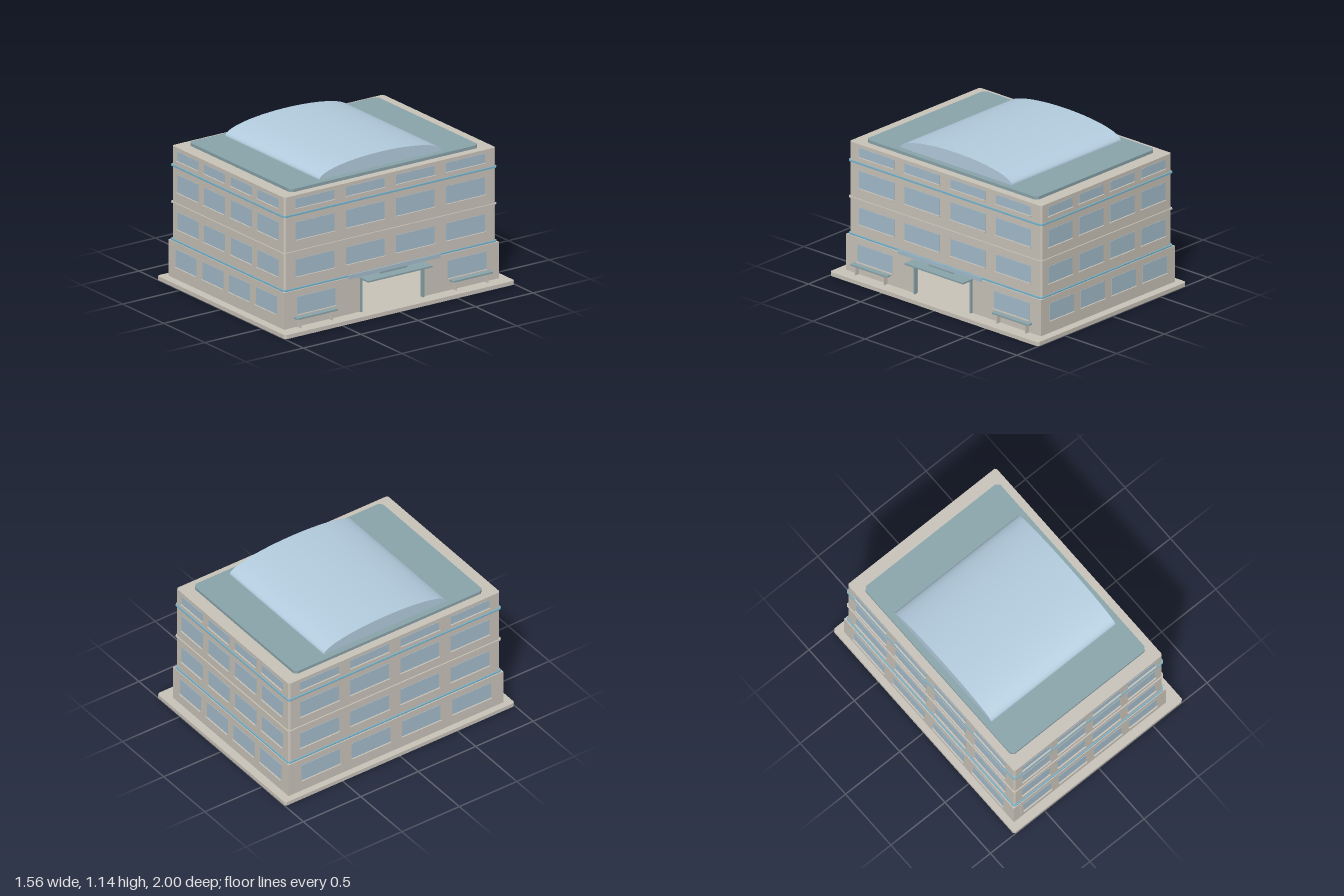
import * as THREE from 'three';

const mat = (name, color) => {
  const m = new THREE.MeshStandardMaterial({ color });
  m.name = name;
  return m;
};

// Outline with cut corners, in the ground plane
function outline(w, d, c) {
  const x = w / 2, y = d / 2;
  return [[-x + c, -y], [x - c, -y], [x, -y + c], [x, y - c], [x - c, y], [-x + c, y], [-x, y - c], [-x, -y + c]]
    .map(([a, b]) => new THREE.Vector2(a, b));
}

export function createModel() {
  const model = new THREE.Group();
  model.name = 'officeBuilding';
  const stone = mat('stone', 0xcac4ba);
  const teal = mat('teal', 0x8aa5ab);
  const glass = mat('windowGlass', 0xa5bdcc);
  const skylight = mat('skylightGlass', 0xb4cddf);
  const blue = mat('blueTrim', 0x78b4cc);
  const CX = -0.027; // centre line of the building on its plinth

  const add = (parent, name, geo, material, x = 0, y = 0, z = 0) => {
    const m = new THREE.Mesh(geo, material);
    m.name = name;
    m.position.set(x, y, z);
    parent.add(m);
    return m;
  };
  const box = (parent, name, material, w, h, d, x, y, z) =>
    add(parent, name, new THREE.BoxGeometry(w, h, d), material, x, y, z);
  // Horizontal slab from y0 to y1 with small cut corners
  const slab = (parent, name, material, w, d, y0, y1, c, x = CX, z = 0) => {
    const geo = new THREE.ExtrudeGeometry(new THREE.Shape(outline(w, d, c)), { depth: y1 - y0, bevelEnabled: false });
    geo.rotateX(-Math.PI / 2);
    return add(parent, name, geo, material, x, y0, z);
  };

  // Plinth and main volumes
  slab(model, 'plinth', stone, 1.56, 2, 0, 0.03, 0.015, 0);
  slab(model, 'upperFloors', stone, 1.37, 1.84, 0.305, 1.012, 0.012);

  // Hollow ground floor with an open doorway on the left side
  const ground = new THREE.Group();
  ground.name = 'groundFloor';
  model.add(ground);
  const W = 1.405, D = 1.87, T = 0.03, H = 0.275, YM = 0.03 + H / 2, DOOR = 0.275;
  for (const s of [-1, 1]) {
    box(ground, 'endWall', stone, W, H, T, CX, YM, s * (D - T) / 2);
    const len = D / 2 - T - DOOR;
    box(ground, 'doorSideWall', stone, T, H, len, CX + (W - T) / 2, YM, s * (DOOR + len / 2));
  }
  box(ground, 'farWall', stone, T, H, D - 2 * T, CX - (W - T) / 2, YM, 0);
  box(ground, 'doorHead', stone, T, 0.025, DOOR * 2, CX + (W - T) / 2, 0.2925, 0);
  box(ground, 'ceiling', teal, W - 2 * T, 0.006, D - 2 * T, CX, 0.302, 0);
  box(ground, 'groundFloorLedge', stone, W - 0.002, 0.004, D - 0.002, CX, 0.303, 0);
  ground.children.at(-2).position.y = 0.297;

  // String courses around the upper floors
  for (const [y, h, m, name] of [[0.305, 0.012, blue, 'lowerTrim'], [0.585, 0.01, stone, 'middleTrim'], [0.862, 0.012, blue, 'upperTrim']])
    slab(model, name, m, 1.388, 1.858, y, y + h, 0.014);

  // Windows with sills on all four sides
  const rows = [[0.12, 0.255], [0.398, 0.53], [0.675, 0.81], [0.913, 0.985]];
  const sides = [
    { name: 'front', angle: 0, step: 0.325, width: 0.252 },
    { name: 'back', angle: Math.PI, step: 0.325, width: 0.252 },
    { name: 'left', angle: Math.PI / 2, step: 0.437, width: 0.335 },
    { name: 'right', angle: -Math.PI / 2, step: 0.437, width: 0.335 },
  ];
  for (const side of sides) {
    const facade = new THREE.Group();
    facade.name = side.name + 'Windows';
    facade.position.x = CX;
    facade.rotation.y = side.angle;
    model.add(facade);
    const long = side.step > 0.4;
    rows.forEach(([y0, y1], floor) => {
      const face = (long ? (floor ? 1.37 : W) : (floor ? 1.84 : D)) / 2;
      for (let i = 0; i < 4; i++) {
        if (side.name === 'left' && floor === 0 && (i === 1 || i === 2)) continue;
        const u = (i - 1.5) * side.step;
        box(facade, 'window', glass, side.width, y1 - y0, 0.004, u, (y0 + y1) / 2, face + 0.001);
        box(facade, 'windowSill', stone, side.width + 0.006, 0.009, 0.016, u, y0 - 0.002, face + 0.006);
      }
    });
  }

  // Roof slab and vaulted skylight
  slab(model, 'roofSlab', teal, 1.245, 1.64, 1.012, 1.035, 0.025);
  const arc = new THREE.Shape();
  arc.moveTo(0.535, 0);
  arc.absellipse(0, 0, 0.535, 0.104, 0, Math.PI, false);
  arc.closePath();
  const vault = new THREE.ExtrudeGeometry(arc, { depth: 1.145, bevelEnabled: false, curveSegments: 40 });
  // Smooth the curved shell, keep the flat ends sharp
  const p = vault.attributes.position, n = vault.attributes.normal, v = new THREE.Vector3();
  for (let i = 0; i < p.count; i++) {
    if (Math.abs(n.getZ(i)) > 0.5 || n.getY(i) < -0.9) continue;
    v.set(p.getX(i) / 0.535 ** 2, p.getY(i) / 0.104 ** 2, 0).normalize();
    n.setXYZ(i, v.x, v.y, 0);
  }
  vault.rotateY(Math.PI / 2);
  add(model, 'vaultedSkylight', vault, skylight, -0.6, 1.034, 0);

  // Entrance: posts, canopy and the plain board above
  const entrance = new THREE.Group();
  entrance.name = 'entrance';
  model.add(entrance);
  for (const s of [-1, 1]) box(entrance, 'doorPost', teal, 0.03, 0.25, 0.013, 0.677, 0.155, s * 0.269);
  box(entrance, 'doorLintel', teal, 0.03, 0.012, 0.55, 0.677, 0.27, 0);
  box(entrance, 'canopy', teal, 0.11, 0.012, 0.56, 0.726, 0.284, 0);
  box(entrance, 'boardSupport', teal, 0.006, 0.022, 0.24, 0.7, 0.3, 0);
  box(entrance, 'board', glass, 0.006, 0.03, 0.8, 0.714, 0.324, 0);

  // Benches on both sides of the entrance
  for (const s of [-1, 1]) {
    const bench = new THREE.Group();
    bench.name = 'bench';
    bench.position.z = s * 0.678;
    model.add(bench);
    slab(bench, 'benchSeat', teal, 0.052, 0.355, 0.099, 0.111, 0.01, 0.7);
    for (const e of [-1, 1]) box(bench, 'benchLeg', stone, 0.036, 0.07, 0.008, 0.694, 0.065, e * 0.138);
  }

  // Slim upright strip near the corner of the front
  box(model, 'cornerStrip', stone, 0.006, 0.18, 0.012, -0.67, 0.19, 0.94);
  return model;
}
